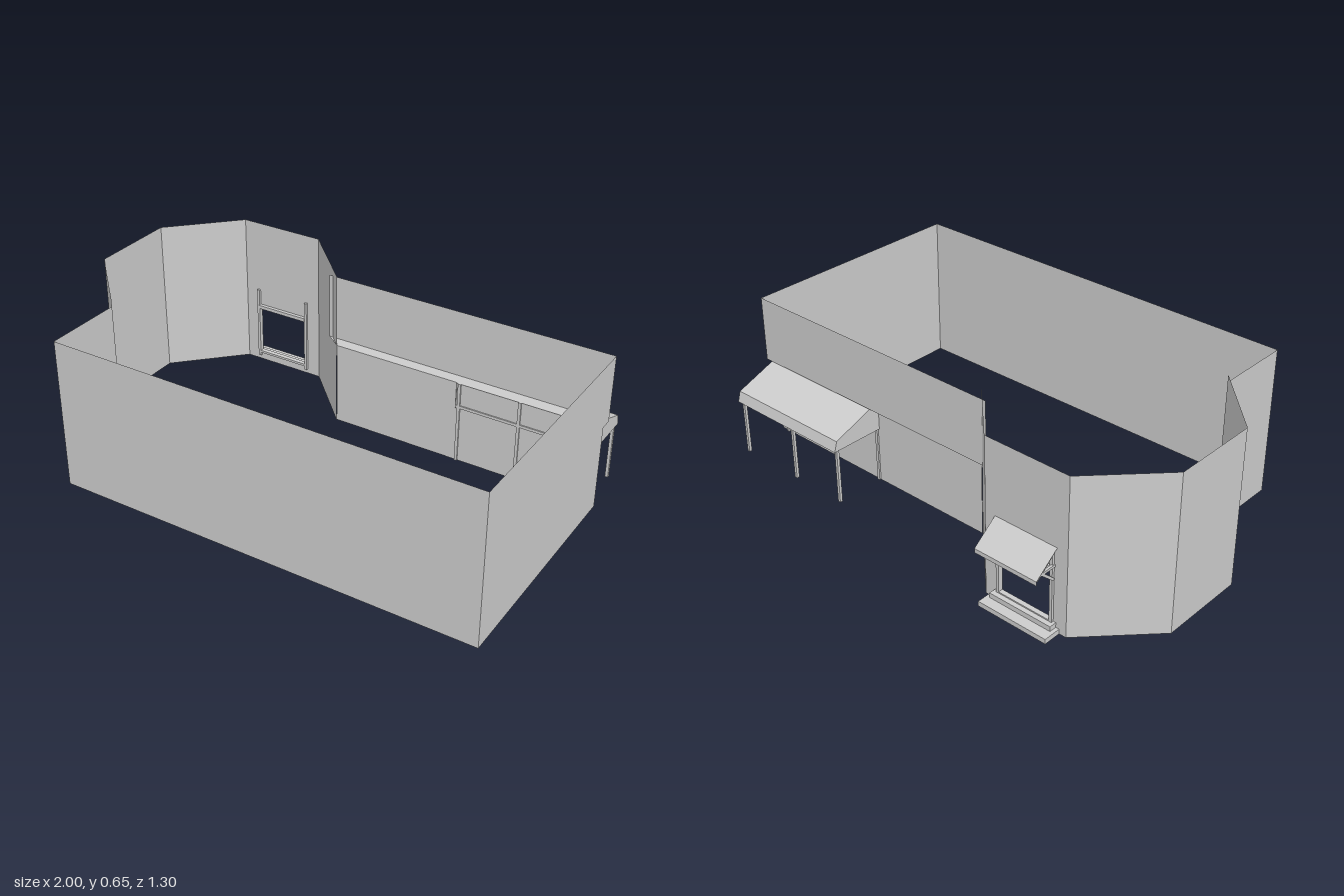
import * as THREE from 'three';

export function createModel() {
  const model = new THREE.Group();
  model.name = 'building';
  const plaster = new THREE.MeshStandardMaterial({ color: 0xcccccc, side: THREE.DoubleSide });
  plaster.name = 'paleGrey';

  function add(name, geometry, parent = model) {
    const mesh = new THREE.Mesh(geometry, plaster);
    mesh.name = name;
    parent.add(mesh);
    return mesh;
  }
  // flat fan through corner points
  function panel(name, pts, parent) {
    const v = [];
    for (let i = 1; i < pts.length - 1; i++) v.push(...pts[0], ...pts[i], ...pts[i + 1]);
    const g = new THREE.BufferGeometry();
    g.setAttribute('position', new THREE.Float32BufferAttribute(v, 3));
    g.computeVertexNormals();
    return add(name, g, parent);
  }
  // upright wall between two plan points
  function wall(name, [x0, z0], [x1, z1], y0, y1) {
    return panel(name, [[x0, y0, z0], [x1, y0, z1], [x1, y1, z1], [x0, y1, z0]]);
  }
  // box given by its limits
  function box(name, x0, x1, y0, y1, z0, z1, parent) {
    const m = add(name, new THREE.BoxGeometry(x1 - x0, y1 - y0, z1 - z0), parent);
    m.position.set((x0 + x1) / 2, (y0 + y1) / 2, (z0 + z1) / 2);
    return m;
  }
  // square bar between two points in a plane of constant x
  function bar(name, x, [y0, z0], [y1, z1], t, parent) {
    const m = add(name, new THREE.BoxGeometry(t, t, Math.hypot(y1 - y0, z1 - z0)), parent);
    m.position.set(x, (y0 + y1) / 2, (z0 + z1) / 2);
    m.rotation.x = Math.atan2(-(y1 - y0), z1 - z0);
    return m;
  }

  // main hall, open above and below, upper rear wall jutting out
  const H = 0.62, step = 0.347, zLow = -0.292, zUp = -0.342;
  wall('frontWall', [-0.75, 0.648], [1, 0.648], 0, H);
  wall('rightWall', [-0.75, 0.648], [-0.75, 0.325], 0, H);
  wall('leftWallLower', [1, 0.648], [1, zLow], 0, step);
  wall('leftWallUpper', [1, 0.648], [1, zUp], step, H);
  wall('rearWallLower', [1, zLow], [-0.135, zLow], 0, step);
  wall('rearWallUpper', [1, zUp], [-0.203, zUp], step, H);
  panel('rearSoffit', [[1, step, zLow], [1, step, zUp], [-0.203, step, zUp], [-0.135, step, zLow]]);

  // five sides of an octagonal bay; the rear one has an opening
  const T = 0.65, zBack = -0.545;
  const bay = [[-0.75, 0.325], [-1, 0.07], [-1, -0.29], [-0.75, zBack], [-0.385, zBack], [-0.135, -0.29]];
  for (let i = 0; i < 5; i++) if (i !== 3) wall('bayWall', bay[i], bay[i + 1], 0, T);
  const rear = new THREE.Shape([[-0.75, 0], [-0.385, 0], [-0.385, T], [-0.75, T]].map(p => new THREE.Vector2(...p)));
  rear.holes.push(new THREE.Path([[-0.685, 0.04], [-0.685, 0.255], [-0.45, 0.255], [-0.45, 0.04]].map(p => new THREE.Vector2(...p))));
  add('bayRearWall', new THREE.ShapeGeometry(rear)).position.z = zBack;

  // serving window with hood, brackets and stepped sill
  const win = new THREE.Group();
  win.name = 'window';
  model.add(win);
  box('sillStep', -0.72, -0.415, 0, 0.02, -0.617, -0.545, win);
  box('sill', -0.705, -0.43, 0.02, 0.04, -0.575, -0.545, win);
  box('lintel', -0.685, -0.45, 0.255, 0.27, -0.555, -0.53, win);
  box('bottomRail', -0.685, -0.45, 0.035, 0.045, -0.555, -0.535, win);
  for (const s of [-1, 1]) {
    const x = -0.5675 + s * 0.12;
    box('jamb', x - 0.006, x + 0.006, 0.02, 0.34, -0.555, -0.535, win);
    const bx = -0.5675 + s * 0.125;
    bar('bracketArm', bx, [0.275, -0.545], [0.275, -0.625], 0.01, win);
    bar('bracketBrace', bx, [0.22, -0.55], [0.275, -0.61], 0.01, win);
    bar('bracketRafter', bx, [0.335, -0.55], [0.262, -0.637], 0.01, win);
  }
  panel('hood', [[-0.705, 0.35, -0.545], [-0.43, 0.35, -0.545], [-0.43, 0.27, -0.648], [-0.705, 0.27, -0.648]], win);
  panel('hoodFascia', [[-0.705, 0.27, -0.648], [-0.43, 0.27, -0.648], [-0.43, 0.253, -0.648], [-0.705, 0.253, -0.648]], win);

  // porch: sloping roof with closed ends on three rows of posts
  const porch = new THREE.Group();
  porch.name = 'porch';
  model.add(porch);
  const profile = [[0.235, -0.287], [0.347, -0.287], [0.347, -0.328], [0.278, -0.51], [0.235, -0.523]];
  const xa = 0.405, xb = 0.975;
  for (const x of [xa, xb]) panel('porchEnd', profile.map(([y, z]) => [x, y, z]), porch);
  for (let i = 1; i < 4; i++) {
    const [y0, z0] = profile[i], [y1, z1] = profile[i + 1];
    panel('porchRoof', [[xa, y0, z0], [xb, y0, z0], [xb, y1, z1], [xa, y1, z1]], porch);
  }
  for (const x of [0.417, 0.67, 0.963]) {
    box('frontPost', x - 0.006, x + 0.006, 0, 0.26, -0.508, -0.496, porch);
    box('wallPost', x - 0.006, x + 0.006, 0, 0.345, -0.299, -0.287, porch);
    bar('crossBeam', x, [0.243, -0.295], [0.243, -0.505], 0.01, porch);
    bar('rafter', x, [0.335, -0.33], [0.272, -0.5], 0.01, porch);
  }
  box('frontBeam', xa, xb, 0.238, 0.252, -0.508, -0.496, porch);
  box('wallBeam', xa, xb, 0.238, 0.25, -0.299, -0.287, porch);

  return model;
}
